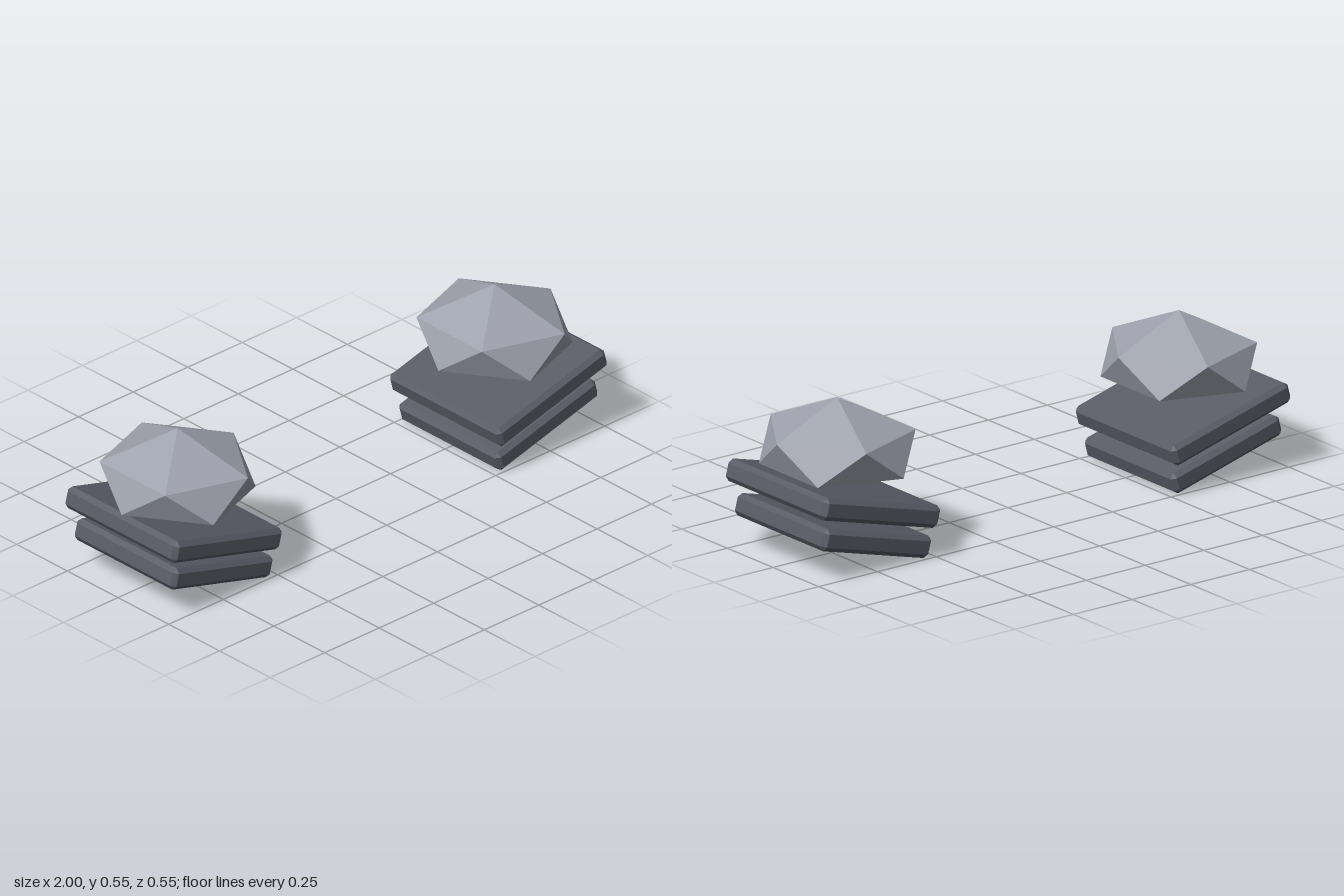
import * as THREE from 'three';
import { ConvexGeometry } from 'three/addons/geometries/ConvexGeometry.js';

// Box with every edge chamfered by c
function chamferedBox(w, h, d, c) {
  const points = [];
  for (const sx of [-1, 1]) for (const sy of [-1, 1]) for (const sz of [-1, 1]) {
    const x = w / 2, y = h / 2, z = d / 2;
    points.push(
      new THREE.Vector3(sx * x, sy * (y - c), sz * (z - c)),
      new THREE.Vector3(sx * (x - c), sy * y, sz * (z - c)),
      new THREE.Vector3(sx * (x - c), sy * (y - c), sz * z)
    );
  }
  return new ConvexGeometry(points);
}

// Flat-bottomed faceted dome: apex, upper pentagon, lower pentagon turned by 36 degrees
function facetedDome(rx, rz, ringY, topY) {
  const points = [new THREE.Vector3(0, topY, 0)];
  for (let i = 0; i < 10; i++) {
    const a = i * Math.PI / 5;
    points.push(new THREE.Vector3(rx * Math.cos(a), i % 2 ? 0 : ringY, rz * Math.sin(a)));
  }
  return new ConvexGeometry(points);
}

export function createModel() {
  const group = new THREE.Group();
  const darkMetal = new THREE.MeshStandardMaterial({ name: 'dark metal', color: 0x595b66, flatShading: true });
  const lightMetal = new THREE.MeshStandardMaterial({ name: 'light metal', color: 0x9da1ad, flatShading: true });

  const upperPlate = chamferedBox(0.515, 0.078, 0.55, 0.016);
  const lowerPlate = chamferedBox(0.475, 0.078, 0.5, 0.016);
  const dome = facetedDome(0.257, 0.275, 0.121, 0.236);

  for (const side of [-1, 1]) {
    const shoulder = new THREE.Group();
    shoulder.name = side > 0 ? 'leftShoulder' : 'rightShoulder';

    const add = (name, geometry, material, x, y, tilt) => {
      const mesh = new THREE.Mesh(geometry, material);
      mesh.name = name;
      mesh.position.set(side * x, y, 0);
      mesh.rotation.z = side * tilt;
      shoulder.add(mesh);
    };
    // Two stacked plates rising outwards, with the dome level above them
    const tilt = Math.PI / 12;
    add('lowerPlate', lowerPlate, darkMetal, 0.745, 0.095, tilt);
    add('upperPlate', upperPlate, darkMetal, 0.745, 0.21, tilt);
    add('dome', dome, lightMetal, 0.727, 0.312, 0);
    group.add(shoulder);
  }
  return group;
}
